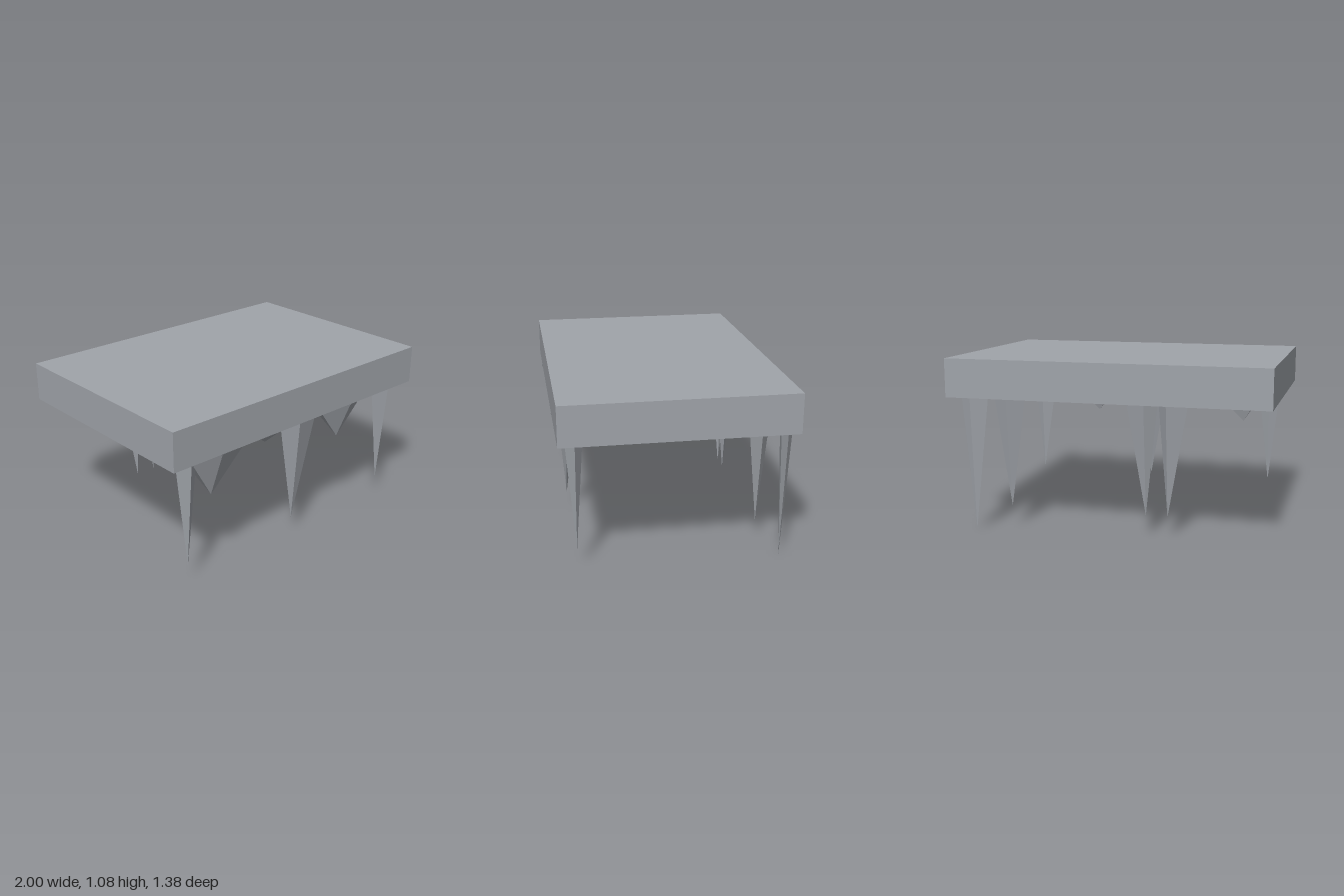
import * as THREE from 'three';

const SLAB_BOTTOM = 0.84;

// Flat-sided spike hanging from a base ring (x, z pairs, anticlockwise seen from above) to a tip.
function spikeGeometry(ring, tip) {
  const pos = [];
  ring.forEach(([x, z], i) => {
    const [nx, nz] = ring[(i + 1) % ring.length];
    pos.push(x, SLAB_BOTTOM, z, ...tip, nx, SLAB_BOTTOM, nz);
  });
  const g = new THREE.BufferGeometry();
  g.setAttribute('position', new THREE.Float32BufferAttribute(pos, 3));
  g.computeVertexNormals();
  return g;
}

// Four-cornered base ring around the tip.
const diamond = (x, z, left, right, back, front) =>
  [[right, z], [x, back], [left, z], [x, front]];

export function createModel() {
  const model = new THREE.Group();
  const stone = new THREE.MeshStandardMaterial({ color: 0xa0a4aa });
  stone.name = 'grey stone';

  const add = (name, geometry) => {
    const mesh = new THREE.Mesh(geometry, stone);
    mesh.name = name;
    model.add(mesh);
    return mesh;
  };

  // Ceiling slab
  add('slab', new THREE.BoxGeometry(2, 0.24, 1.37)).position.y = 0.96;

  // Slender spikes: tip x, y, z, then base left, right, back, front
  [
    [-0.84, 0.14, 0.585, -0.915, -0.76, 0.535, 0.64],
    [0.01, 0.14, 0.585, -0.11, 0.21, 0.49, 0.64],
    [0.84, 0.14, 0.585, 0.735, 0.91, 0.535, 0.64],
    [-0.37, 0.14, -0.54, -0.49, -0.31, -0.61, -0.475],
    [-0.235, 0.14, -0.54, -0.305, -0.11, -0.61, -0.475],
    [0.635, 0.14, -0.54, 0.535, 0.74, -0.61, -0.475],
    [0.84, 0, -0.635, 0.74, 0.915, -0.683, -0.615],
  ].forEach(([x, y, z, ...base]) =>
    add('slenderSpike', spikeGeometry(diamond(x, z, ...base), [x, y, z])));

  // Broad stubby spikes along the front edge
  add('broadSpikeRight', spikeGeometry(
    [[-0.37, 0.6], [-0.38, 0.53], [-0.83, 0.485], [-0.84, 0.62], [-0.66, 0.69]],
    [-0.66, 0.55, 0.587]));
  add('broadSpikeLeft', spikeGeometry(
    [[0.64, 0.6], [0.633, 0.485], [0.22, 0.52], [0.21, 0.6], [0.405, 0.69]],
    [0.405, 0.59, 0.587]));
  add('smallSpike', spikeGeometry(
    diamond(-0.235, 0.587, -0.37, -0.11, 0.49, 0.69), [-0.235, 0.75, 0.587]));

  return model;
}
